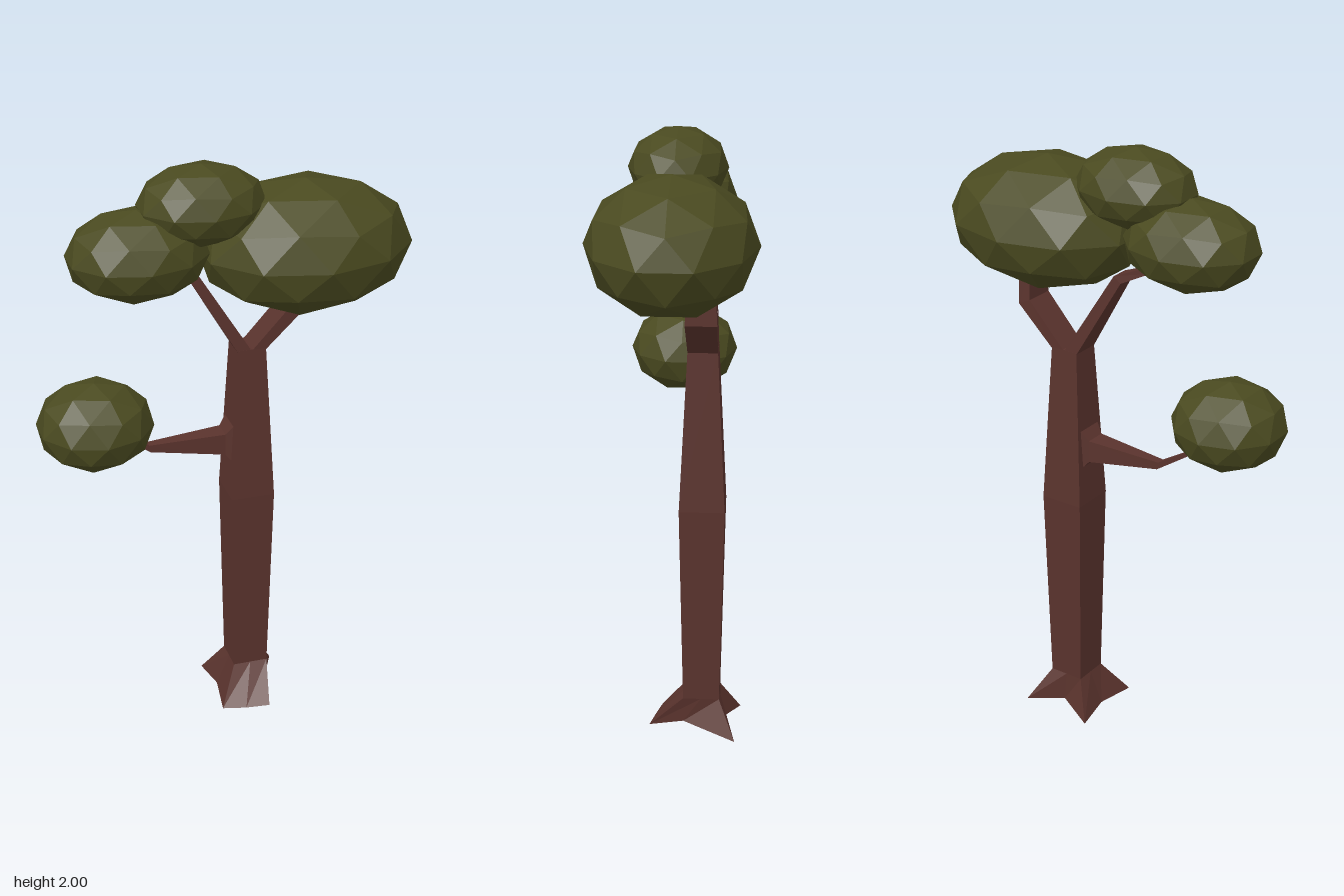
import * as THREE from 'three';

const bark = new THREE.MeshStandardMaterial({ color: 0x5a332d, flatShading: true });
const leaves = new THREE.MeshStandardMaterial({ color: 0x4a4a20, flatShading: true });
const TX = 0.115, TZ = -0.09; // trunk axis

// Skin a stack of equal-length rings of [x, y, z] points and cap both ends
function loft(name, rings) {
  const pos = [];
  const tri = (...pts) => pts.forEach((p) => pos.push(...p));
  const n = rings[0].length;
  const centre = (ring) => [0, 1, 2].map((k) => ring.reduce((s, p) => s + p[k], 0) / n);
  const first = rings[0], last = rings[rings.length - 1];
  for (let i = 0; i < n; i++) {
    const j = (i + 1) % n;
    for (let r = 0; r < rings.length - 1; r++) {
      const a = rings[r], b = rings[r + 1];
      tri(a[i], a[j], b[j]);
      tri(a[i], b[j], b[i]);
    }
    tri(first[j], first[i], centre(first));
    tri(last[i], last[j], centre(last));
  }
  const geo = new THREE.BufferGeometry();
  geo.setAttribute('position', new THREE.Float32BufferAttribute(pos, 3));
  geo.computeVertexNormals();
  const mesh = new THREE.Mesh(geo, bark);
  mesh.name = name;
  return mesh;
}

// Branch from sections [leftX, leftY, rightX, rightY, half depth]
function branch(name, sections) {
  return loft(name, sections.map(([lx, ly, rx, ry, d]) => [
    [lx, ly, TZ + d], [rx, ry, TZ + d], [rx, ry, TZ - d], [lx, ly, TZ - d],
  ]));
}

// Squashed icosphere standing on one of its corners
function foliage(name, x, y, rx, ry, rz) {
  const geo = new THREE.IcosahedronGeometry(1, 1);
  geo.rotateZ(-Math.atan(2 / (1 + Math.sqrt(5))));
  geo.scale(rx, ry, rz);
  geo.computeVertexNormals();
  const mesh = new THREE.Mesh(geo, leaves);
  mesh.name = name;
  mesh.position.set(x, y, 0);
  return mesh;
}

export function createModel() {
  const tree = new THREE.Group();
  tree.name = 'tree';

  // Square trunk, swelling at mid height
  tree.add(branch('trunk', [[0.12, 0.06], [0.8, 0.074], [1.335, 0.048]].map(
    ([y, h]) => [TX - h, y, TX + h, y, h])));

  // Flared roots: spread corners with notches between them
  const h = 0.06;
  const collar = [[-1, 1], [0, 1], [1, 1], [1, 0], [1, -1], [0, -1], [-1, -1], [-1, 0]]
    .map(([x, z]) => [TX + x * h, 0.12, TZ + z * h]);
  const foot = [
    [-0.01, 0, 0.05], [0.07, 0, 0.07], [0.15, 0.005, 0.085], [0.165, 0.03, -0.03],
    [0.245, 0, -0.205], [0.12, 0.02, -0.155], [-0.01, 0, -0.218], [0.01, 0.01, -0.09],
  ];
  tree.add(loft('roots', [foot, collar]));

  // Forked upper branches
  tree.add(branch('leftBranch', [
    [0.115, 1.33, 0.163, 1.33, 0.048],
    [0.247, 1.475, 0.29, 1.455, 0.05],
    [0.25, 1.56, 0.29, 1.56, 0.045],
  ]));
  tree.add(branch('rightBranch', [
    [0.067, 1.33, 0.115, 1.33, 0.048],
    [-0.09, 1.6, -0.065, 1.62, 0.03],
    [-0.19, 1.65, -0.185, 1.67, 0.015],
  ]));

  // Low side branch with a collar at the trunk
  tree.add(branch('lowBranch', [
    [0.06, 0.92, 0.06, 1.07, 0.05],
    [0.03, 0.955, 0.03, 1.03, 0.035],
    [-0.22, 0.993, -0.225, 1.018, 0.014],
    [-0.37, 1.095, -0.375, 1.11, 0.01],
  ]));

  // Leaf clumps
  tree.add(foliage('largeFoliage', 0.27, 1.705, 0.347, 0.215, 0.27));
  tree.add(foliage('topFoliage', -0.065, 1.872, 0.205, 0.128, 0.16));
  tree.add(foliage('rightFoliage', -0.27, 1.73, 0.227, 0.145, 0.181));
  tree.add(foliage('lowFoliage', -0.42, 1.167, 0.189, 0.145, 0.181));
  return tree;
}
